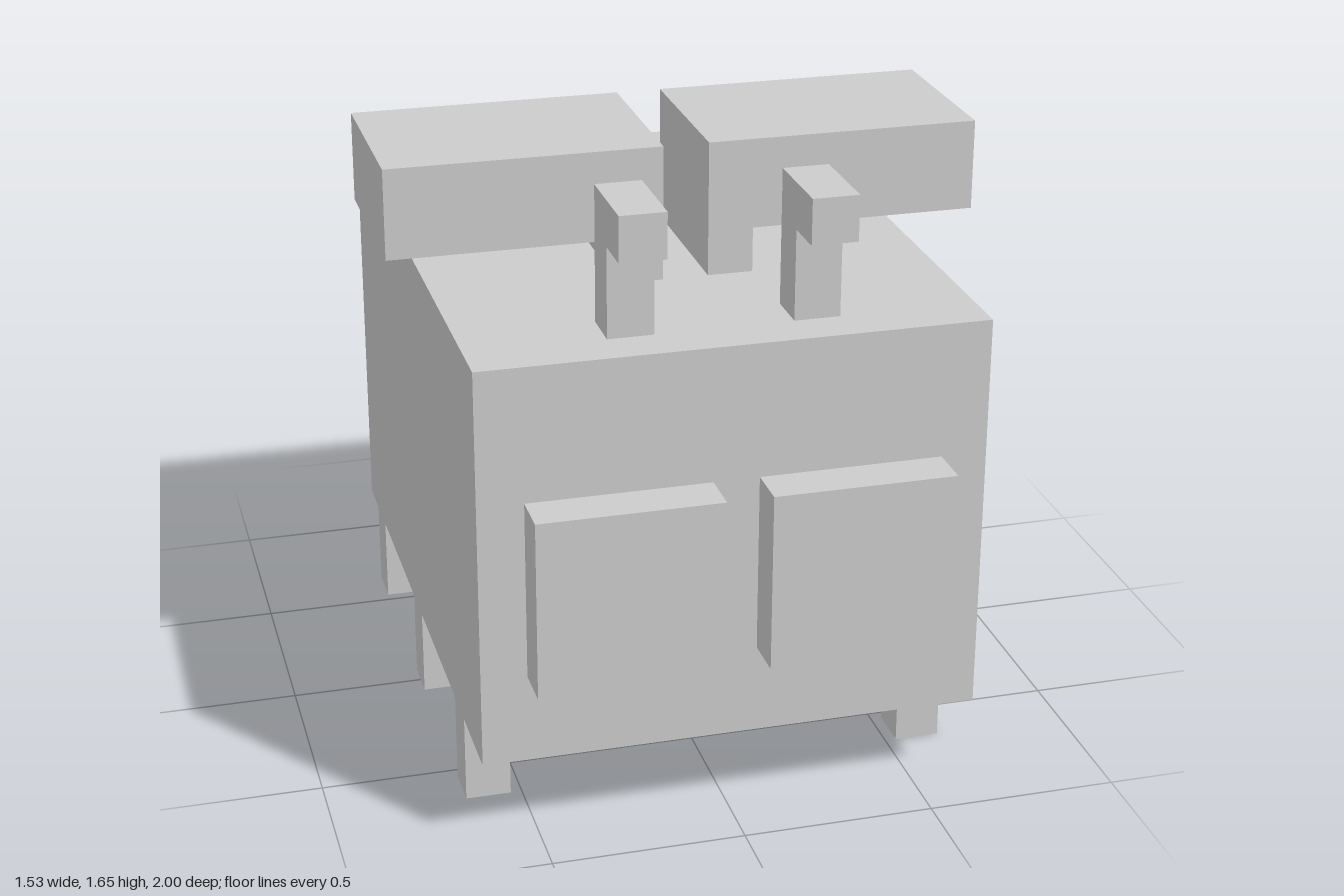
import * as THREE from 'three';

const U = 2 / 17; // one block of the model's grid

export function createModel() {
  const group = new THREE.Group();
  const material = new THREE.MeshStandardMaterial({ color: 0xcccccc, flatShading: true });

  function add(name, geometry) {
    geometry.scale(U, U, U);
    const mesh = new THREE.Mesh(geometry, material);
    mesh.name = name;
    group.add(mesh);
  }

  // Box from its ranges, in blocks
  function box(name, [x0, x1], [y0, y1], [z0, z1]) {
    const geometry = new THREE.BoxGeometry(x1 - x0, y1 - y0, z1 - z0);
    geometry.translate((x0 + x1) / 2, (y0 + y1) / 2, (z0 + z1) / 2);
    add(name, geometry);
  }

  // Prism from a polygon profile, in blocks
  function prism(points, depth) {
    const shape = new THREE.Shape(points.map(([x, y]) => new THREE.Vector2(x, y)));
    return new THREE.ExtrudeGeometry(shape, { depth, bevelEnabled: false });
  }

  box('body', [-5.5, 5.5], [2, 11], [-6.5, 7.5]);
  box('tail', [-0.5, 0.5], [6, 7], [-8.5, -6.5]);

  for (const side of [1, -1]) {
    const label = side > 0 ? 'left' : 'right';
    const span = (a, b) => (side > 0 ? [a, b] : [-b, -a]);

    box(label + 'Eye', span(0.5, 4.5), [4, 8], [7.5, 8.5]);

    // Three legs along each lower edge
    ['front', 'middle', 'back'].forEach((place, i) => {
      const z = 5 - 5 * i;
      box(label + place[0].toUpperCase() + place.slice(1) + 'Leg', span(4.5, 5.5), [0, 2], [z - 0.5, z + 0.5]);
    });

    // Wing on a narrow inner root
    const wing = prism(
      [[0.5, 11], [1.5, 11], [1.5, 12], [6.5, 12], [6.5, 14], [0.5, 14]].map(([x, y]) => [side * x, y]), 4);
    wing.translate(0, 0, -0.5);
    add(label + 'Wing', wing);

    // Antenna hooked forward, profile drawn in z and y
    const antenna = prism([[5.5, 11], [6.5, 11], [6.5, 13], [7.5, 13], [7.5, 14], [5.5, 14]], 1);
    antenna.rotateY(-Math.PI / 2);
    antenna.translate(side * 2 + 0.5, 0, 0);
    add(label + 'Antenna', antenna);
  }

  return group;
}
